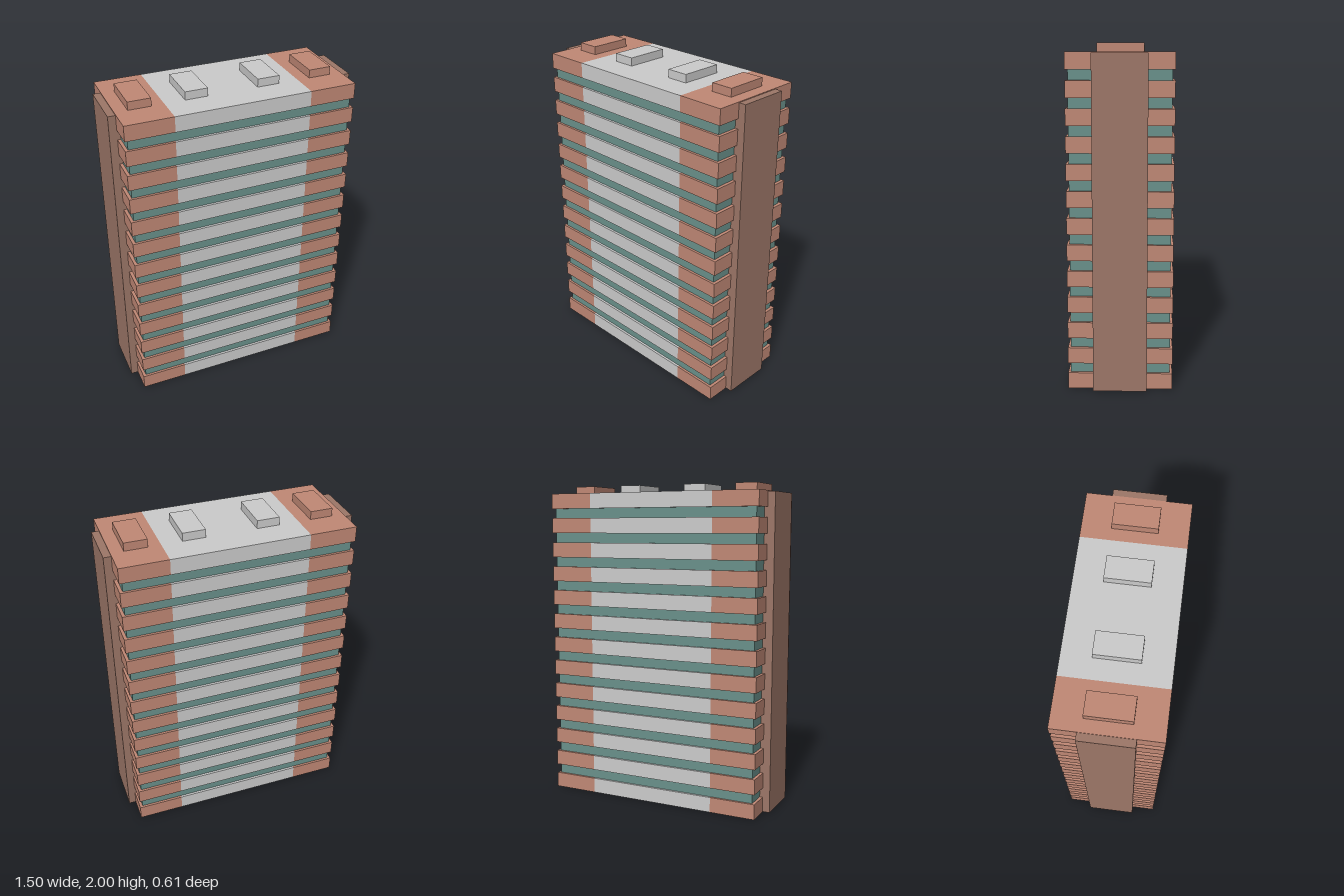
import * as THREE from 'three';

export function createModel() {
  const model = new THREE.Group();
  const mat = (color) => new THREE.MeshStandardMaterial({ color });
  const grey = mat(0xcccccc);
  const brick = mat(0xc08875);
  const brown = mat(0x9d7768);
  const teal = mat(0x6a918b);

  // Box given by its size, centre x and bottom y
  function box(name, material, w, h, d, x, y, parent = model) {
    const mesh = new THREE.Mesh(new THREE.BoxGeometry(w, h, d), material);
    mesh.name = name;
    mesh.position.set(x, y + h / 2, 0);
    parent.add(mesh);
    return mesh;
  }

  const floors = 13, slabH = 0.095, top = 1.95;
  const pitch = (top - slabH) / (floors - 1);
  const halfW = 0.705, split = 0.416, depth = 0.61;

  // Floor slabs: grey middle with a brick block at each end
  for (let i = 0; i < floors; i++) {
    const floor = new THREE.Group();
    floor.name = 'floorSlab' + (i + 1);
    floor.position.y = i * pitch;
    box('slabMiddle', grey, split * 2, slabH, depth, 0, 0, floor);
    for (const s of [-1, 1]) {
      box('slabEnd', brick, halfW - split, slabH, depth, s * (halfW + split) / 2, 0, floor);
    }
    model.add(floor);

    // Recessed window band up to the next slab
    if (i < floors - 1) {
      box('windowBand' + (i + 1), teal, 1.372, pitch - slabH, 0.58, 0, i * pitch + slabH);
    }
  }

  // Full-height wall running through the building and showing at both ends
  box('endWalls', brown, 1.5, 1.942, 0.312, 0, 0.003);

  // Roof boxes
  for (const s of [-1, 1]) {
    box('outerRoofBox', brick, 0.138, 0.05, 0.264, s * 0.56, top);
    box('innerRoofBox', grey, 0.138, 0.05, 0.264, s * 0.224, top);
  }

  return model;
}
